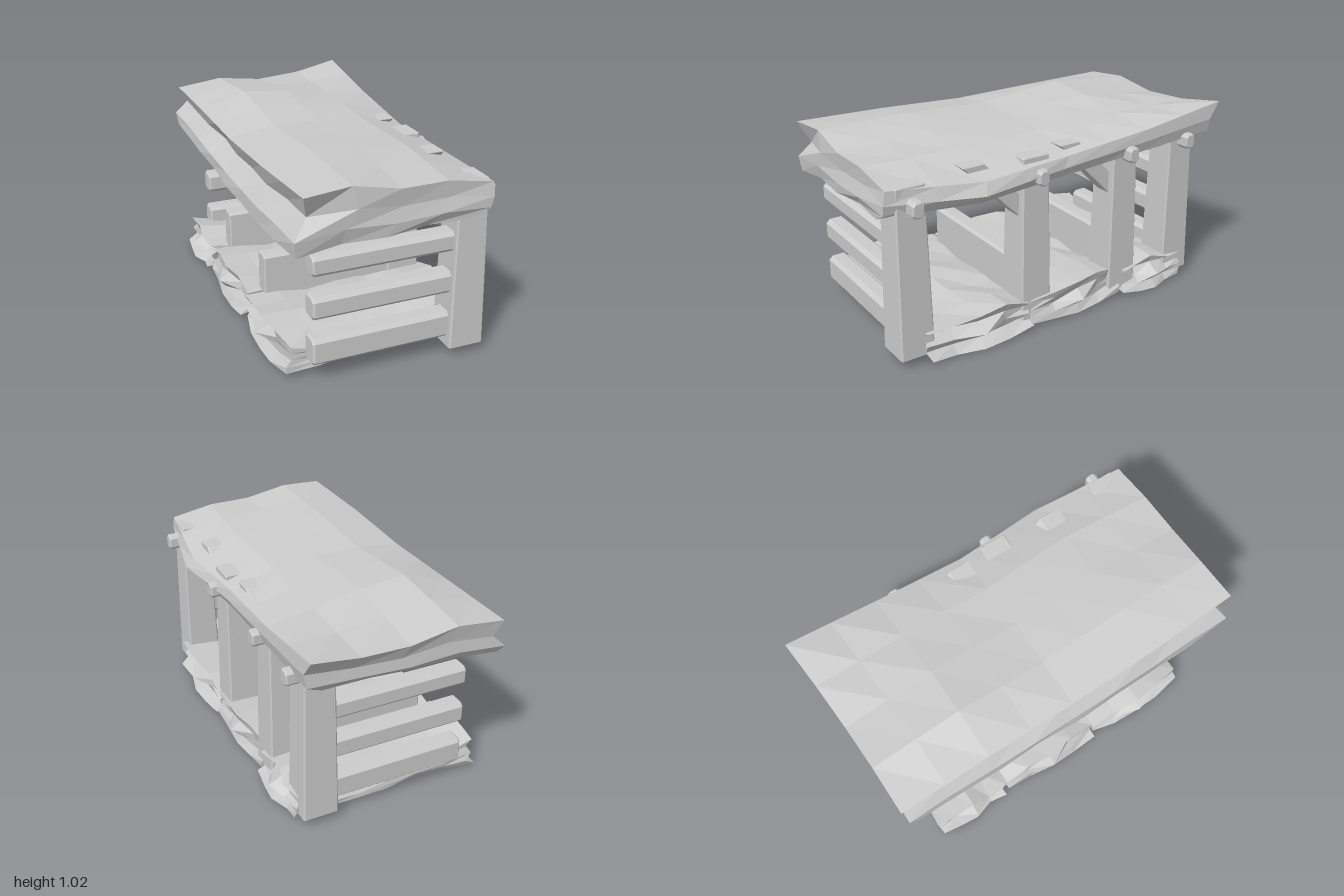
import * as THREE from 'three';

const material = new THREE.MeshStandardMaterial({ color: 0xcccccc, flatShading: true, side: THREE.DoubleSide });

// repeatable jitter in -1..1, equal for vertices sharing a grid position
const jitter = (a, b, c) => {
  const s = Math.sin(a * 12.99 + b * 78.23 + c * 37.72) * 4375.85;
  return (s - Math.floor(s)) * 2 - 1;
};
const lerp = THREE.MathUtils.lerp;

// samples a list at t in 0..1
function sample(list, t) {
  const f = t * (list.length - 1), i = Math.min(Math.floor(f), list.length - 2);
  return lerp(list[i], list[i + 1], f - i);
}

function mesh(name, geometry) {
  const m = new THREE.Mesh(geometry, material);
  m.name = name;
  return m;
}

// moves every vertex of a geometry by rule(point)
function warp(g, rule) {
  const p = g.attributes.position, v = new THREE.Vector3();
  for (let i = 0; i < p.count; i++) {
    rule(v.fromBufferAttribute(p, i));
    p.setXYZ(i, v.x, v.y, v.z);
  }
  g.computeVertexNormals();
  return g;
}

// subdivided box spanning 0..1 on each axis
const unitBox = (nx, ny, nz) => new THREE.BoxGeometry(1, 1, 1, nx, ny, nz).translate(0.5, 0.5, 0.5);

// chamfered beam along z, centred
function beam(w, h, length, c) {
  const x = w / 2, y = h / 2;
  const shape = new THREE.Shape([
    [x - c, -y], [x, c - y], [x, y - c], [x - c, y],
    [c - x, y], [-x, y - c], [-x, c - y], [c - x, -y],
  ].map(([a, b]) => new THREE.Vector2(a, b)));
  const b = c * 0.5;
  return new THREE.ExtrudeGeometry(shape, {
    depth: length - 2 * b, bevelEnabled: true, bevelThickness: b,
    bevelSize: b, bevelOffset: -b, bevelSegments: 1, steps: 1,
  }).translate(0, 0, b - length / 2);
}

// heights of the top slab: rows from back to front, columns from -x to +x
const slabTop = [
  [0.945, 0.975, 0.94, 0.955, 1.0],
  [0.945, 1.02, 1.0, 0.96, 0.93],
  [0.94, 0.975, 0.97, 0.955, 0.885],
  [0.965, 1.0, 0.98, 0.955, 0.87],
  [0.985, 1.0, 0.955, 0.955, 0.915],
];

// wavy top slab: undercut along its -x edge, sloping inward below its +x edge
function slabRule(p) {
  const { x: u, y: v, z: w } = p;
  const top = sample(slabTop.map(row => sample(row, u)), w);
  const bottom = sample([0.69, 0.715, 0.715, 0.73, 0.73], u) + sample([0.05, 0.035, 0.01, -0.005, 0.015], w);
  const right = sample([0.39, 0.485, 0.5, 0.495], v) + sample([0.015, 0.005, -0.01, 0.02, -0.035], w)
    + (v > 0.5 && v < 0.9 ? 0.03 * sample([0, 0, 0.3, 1, 0], w) : 0);
  const left = sample([-0.53, -0.53, -0.45, -0.495], v) + sample([-0.005, 0, 0, 0, 0.02], w)
    + (v < 0.9 ? 0.012 * jitter(1, v, w) : 0);
  const back = sample([-0.89, -0.94, -0.935, -0.95], v) - (v > 0.9 ? 0.05 * u * u : 0);
  const front = sample([0.965, 0.985, 0.975, 0.975], v)
    + (u < 0.1 ? sample([0.01, 0, -0.04, 0.015], v) : 0.012 * jitter(u, v, 5));
  p.set(lerp(left, right, u), lerp(bottom, top, sample([0, 0.28, 0.6, 1], v)), lerp(back, front, w));
}

// rough floor plank running along x with split, notched ends
function floorPlank(z0, z1, seed) {
  return warp(unitBox(6, 4, 4), p => {
    const { x: u, y: v, z: w } = p;
    const s = u * 2 - 1, edge = Math.abs(w * 2 - 1);
    let reach = sample([0.53, 0.495, 0.5, 0.48, 0.505], v) + 0.022 * jitter(v, w, seed + s) - 0.015 * edge;
    if (Math.abs(v - 0.5) < 0.1 && Math.abs(w - 0.5) < 0.1) reach = 0.55;
    const bottom = 0.016 - 0.018 * s * s + 0.022 * edge * edge + 0.006 * (1 + jitter(u, w, seed));
    const top = 0.16 + 0.022 * s * s - 0.03 * edge * edge + 0.016 * jitter(u, w, seed + 3);
    const z = lerp(z0, z1, w) + (edge > 0.9 ? 0.012 * jitter(u, v, seed + 7) : 0);
    p.set(s * reach, lerp(bottom, top, v), z);
  });
}

// tapering post standing on y = 0.045
function post(z) {
  const g = beam(0.185, 0.182, 0.87, 0.008).rotateX(-Math.PI / 2);
  const m = mesh('post', warp(g, p => {
    const k = 1 - 0.17 * (p.y / 0.87 + 0.5);
    p.x *= k;
    p.z *= k;
  }));
  m.position.set(0.393, 0.48, z);
  return m;
}

// brace leaning 45 degrees toward the front, its ends cut level
function brace(z) {
  const g = beam(0.09, 0.12, 0.36, 0.006).rotateX(-Math.PI / 2);
  const m = mesh('brace', warp(g, p => { p.z += p.y; }));
  m.position.set(0.393, 0.745, z + 0.155);
  return m;
}

// beam running along x
function crossBeam(name, x0, x1, y0, y1, z, depth, c) {
  const m = mesh(name, beam(depth, y1 - y0, x1 - x0, c).rotateY(Math.PI / 2));
  m.position.set((x0 + x1) / 2, (y0 + y1) / 2, z);
  return m;
}

export function createModel() {
  const model = new THREE.Group();
  model.name = 'woodenShelter';

  model.add(mesh('topSlab', warp(unitBox(4, 3, 8), slabRule)));

  [[0.22, 0.81], [-0.37, 0.21], [-0.8, -0.39]].forEach(([a, b], i) =>
    model.add(mesh('floorPlank', floorPlank(a, b, i + 1))));

  // posts with a peg through each head
  for (const z of [0.855, 0.172, -0.39, -0.775]) {
    model.add(post(z));
    model.add(crossBeam('peg', 0.3, 0.54, 0.782, 0.862, z - 0.004, 0.064, 0.016));
  }

  // three rails at each end
  for (const z of [0.86, -0.785]) {
    for (const [y0, y1] of [[0.095, 0.235], [0.335, 0.45], [0.555, 0.66]]) {
      model.add(crossBeam('rail', -0.4, 0.36, y0, y1, z, 0.105, 0.02));
    }
  }

  // low divider boards behind the middle posts
  for (const z of [0.2, -0.385]) {
    model.add(crossBeam('dividerBoard', -0.4, 0.36, 0.1, 0.36, z, 0.095, 0.015));
  }

  // braces passing up through the slab
  for (const z of [0.172, -0.385]) model.add(brace(z));

  return model;
}
